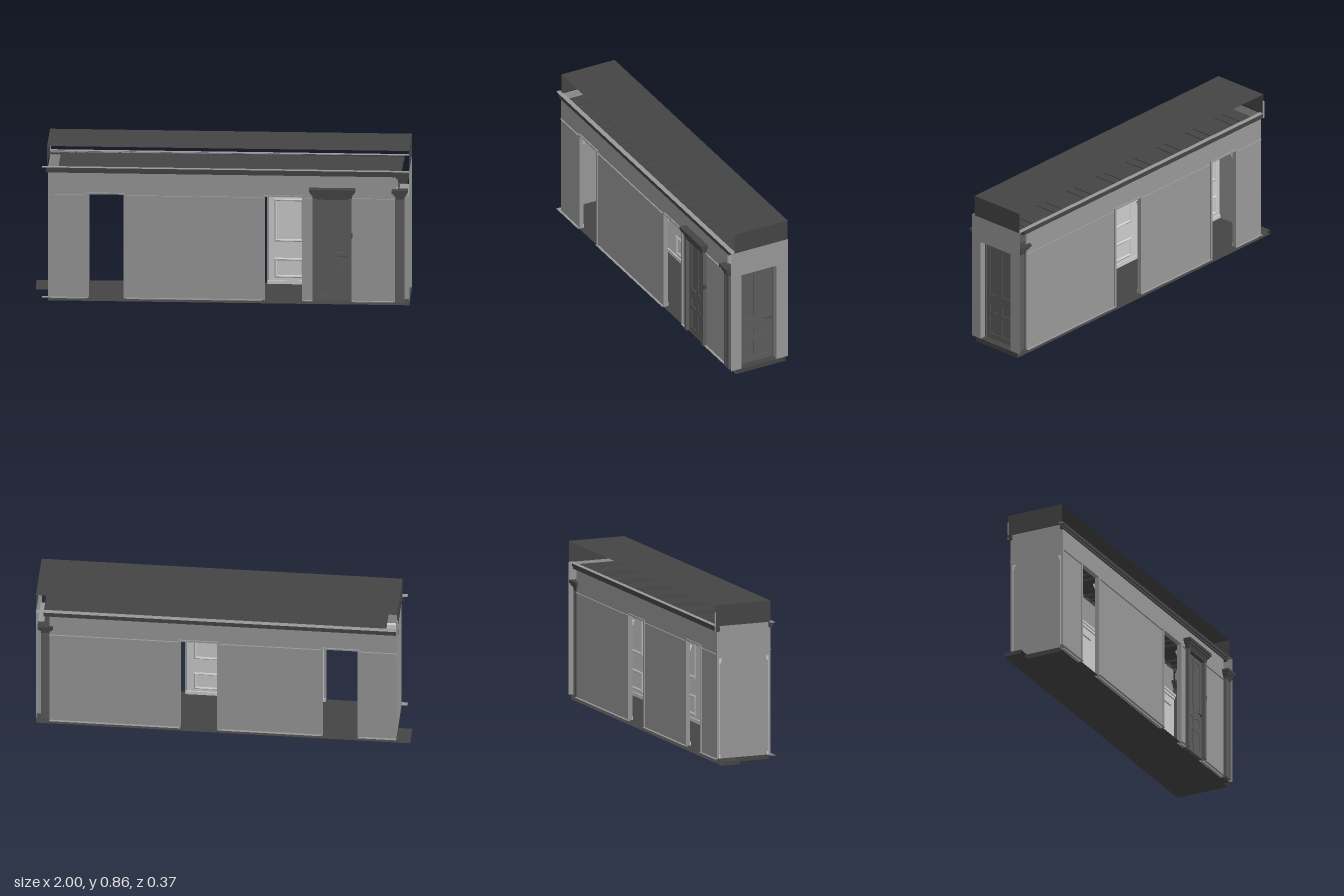
import * as THREE from 'three';

const mat = (color) => new THREE.MeshStandardMaterial({ color, side: THREE.DoubleSide });
const WALL = mat(0x979797), LIGHT = mat(0xcccccc), DOOR = mat(0x5c5c5c), DARK = mat(0x444444);

// Axis-aligned box given by its limits
function box(parent, name, m, x0, x1, y0, y1, z0, z1) {
  const mesh = new THREE.Mesh(new THREE.BoxGeometry(x1 - x0, y1 - y0, z1 - z0), m);
  mesh.position.set((x0 + x1) / 2, (y0 + y1) / 2, (z0 + z1) / 2);
  mesh.name = name;
  parent.add(mesh);
}

// Flat sheet with no thickness: axis 'y' is horizontal, 'x' faces sideways
function sheet(parent, name, m, axis, at, a0, a1, b0, b1) {
  const mesh = new THREE.Mesh(new THREE.PlaneGeometry(a1 - a0, b1 - b0), m);
  if (axis === 'y') { // a = x, b = z
    mesh.rotation.x = -Math.PI / 2;
    mesh.position.set((a0 + a1) / 2, at, (b0 + b1) / 2);
  } else { // a = z, b = y
    mesh.rotation.y = Math.PI / 2;
    mesh.position.set(at, (b0 + b1) / 2, (a0 + a1) / 2);
  }
  mesh.name = name;
  parent.add(mesh);
}

const Y0 = 0.025, TOP = 0.745, HEAD = 0.6;
const FRONT = 0.143, BACK = -0.17; // outer faces of the long walls

// Bevelled rectangular moulding, centred on x = 0
function panelMoulding(w, h) {
  const rect = (C, a, b) => new C([[-a, -b], [a, -b], [a, b], [-a, b]].map((p) => new THREE.Vector2(...p)));
  const shape = rect(THREE.Shape, w / 2 - 0.006, h / 2 - 0.006);
  shape.holes.push(rect(THREE.Path, w / 2 - 0.009, h / 2 - 0.009));
  return new THREE.ExtrudeGeometry(shape, {
    depth: 0.001, bevelEnabled: true, bevelThickness: 0.005, bevelSize: 0.006, bevelSegments: 1,
  });
}

// Long wall with full-height openings, dressed on both faces.
// out is +1 or -1: the direction of the outer face.
function longWall(name, zOut, out, openings) {
  const g = new THREE.Group();
  g.name = name;
  const X0 = -0.925, X1 = 0.93, t = 0.012;
  const zs = (a, b) => [Math.min(zOut + out * a, zOut + out * b), Math.max(zOut + out * a, zOut + out * b)];
  const edges = [X0, ...openings.flatMap((o) => [o[0], o[1]]), X1];
  box(g, 'wallTop', WALL, X0, X1, HEAD, TOP, ...zs(-t, 0));
  for (let i = 0; i < edges.length; i += 2) {
    const a = edges[i], b = edges[i + 1];
    box(g, 'wallPier', WALL, a, b, Y0, HEAD, ...zs(-t, 0));
    sheet(g, 'pictureRail', WALL, 'y', 0.593, a, b, ...zs(0, 0.008));
    sheet(g, 'skirtingLedge', WALL, 'y', Y0, a, b, ...zs(0, 0.014));
    box(g, 'baseStrip', WALL, a + 0.015, b - 0.015, 0.017, Y0, ...zs(-0.012, 0.001));
    // inside panelling
    box(g, 'wainscot', LIGHT, a, b, Y0, 0.54, ...zs(-t - 0.004, -t));
    box(g, 'wainscotRail', LIGHT, a, b, 0.54, 0.555, ...zs(-t - 0.012, -t));
    box(g, 'wainscotCap', LIGHT, a, b, 0.555, 0.567, ...zs(-t - 0.018, -t));
    box(g, 'innerSkirting', LIGHT, a, b, Y0, 0.045, ...zs(-t - 0.01, -t));
    const n = Math.floor((b - a) / 0.19);
    for (let k = 0; k < n; k++) {
      for (const [p, q] of [[0.06, 0.17], [0.26, 0.5]]) {
        const m = new THREE.Mesh(panelMoulding(0.16, q - p), LIGHT);
        m.position.set(a + ((k + 0.5) * (b - a)) / n, (p + q) / 2, zOut - out * (t + 0.005));
        m.name = 'panelMoulding';
        g.add(m);
      }
    }
  }
  // slim trim round each open doorway
  for (const [a, b, isDoor] of openings) {
    if (isDoor) continue;
    const f = zs(-t - 0.006, 0.008);
    box(g, 'openingTrim', WALL, a - 0.008, a + 0.002, Y0, HEAD, ...f);
    box(g, 'openingTrim', WALL, b - 0.002, b + 0.008, Y0, HEAD, ...f);
    box(g, 'openingTrim', WALL, a - 0.008, b + 0.008, HEAD - 0.002, HEAD + 0.006, ...f);
  }
  // cornice in two steps with a flat ledge on top
  box(g, 'cornice', DARK, -0.935, 0.96, 0.716, 0.73, ...zs(-t, 0.007));
  box(g, 'cornice', DARK, -0.935, 0.96, 0.73, TOP, ...zs(-t, 0.013));
  return g;
}

// Flared cap in four steps, spreading sideways and forwards
function flaredCap(g, half, z0, z1) {
  [[0.598, 0.612, 0.002], [0.612, 0.622, 0.006], [0.622, 0.634, 0.013], [0.634, 0.65, 0.02]].forEach(([a, b, d]) =>
    box(g, 'flaredCap', DARK, -half - d, half + d, a, b, z0, z1 + d));
}

// Panelled door leaf with handle, front face at z = 0
function doorLeaf(g, w) {
  const h = w / 2, s = 0.022, y1 = 0.592;
  box(g, 'doorLeaf', DOOR, -h, h, Y0, y1, -0.014, -0.004);
  for (const x of [-h, -s / 2, h - s]) box(g, 'doorStile', DOOR, x, x + s, Y0, y1, -0.018, 0);
  for (const [a, b] of [[Y0, 0.055], [0.16, 0.185], [0.235, 0.29], [0.565, y1]])
    box(g, 'doorRail', DOOR, -h, h, a, b, -0.0178, -0.0002);
  const lever = new THREE.Mesh(new THREE.CapsuleGeometry(0.003, 0.04, 4, 8), DARK);
  lever.rotation.z = Math.PI / 2;
  lever.position.set(h - 0.028, 0.272, 0.009);
  lever.name = 'doorHandle';
  g.add(lever);
  const rose = new THREE.Mesh(new THREE.CylinderGeometry(0.005, 0.005, 0.01, 12), DARK);
  rose.rotation.x = Math.PI / 2;
  rose.position.set(h - 0.01, 0.272, 0.005);
  rose.name = 'handleRose';
  g.add(rose);
}

// Cased door: leaf, head and side posts running from z0 to z1
function casedDoor(name, w, post, z0, z1) {
  const g = new THREE.Group(), h = w / 2;
  g.name = name;
  doorLeaf(g, w);
  box(g, 'doorPost', DOOR, -h - post, -h, Y0, HEAD, z0, z1);
  box(g, 'doorPost', DOOR, h, h + post, Y0, HEAD, z0, z1);
  box(g, 'doorHead', DARK, -h, h, 0.59, HEAD, z0, z1);
  return g;
}

export function createModel() {
  const model = new THREE.Group();
  model.name = 'corridor';

  // Long walls
  model.add(longWall('frontWall', FRONT, 1, [[-0.71, -0.52], [0.23, 0.43], [0.5, 0.68, true]]));
  model.add(longWall('backWall', BACK, -1, [[-0.72, -0.53], [0.03, 0.23]]));

  // Flat ledges on the cornices and at the foot of the front wall
  sheet(model, 'corniceLedge', WALL, 'y', TOP + 0.001, -0.957, 1, 0.13, 0.157);
  sheet(model, 'corniceLedge', WALL, 'y', TOP + 0.001, -0.93, 1, -0.184, -0.158);
  sheet(model, 'footLedge', WALL, 'y', Y0 - 0.001, -0.957, -0.925, 0.13, 0.157);

  // Far end wall and corner strip
  sheet(model, 'farEndWall', WALL, 'x', -0.925, BACK, FRONT, Y0, TOP);
  box(model, 'cornerStrip', WALL, -0.935, -0.925, 0.72, 0.82, -0.185, -0.18);

  // Near end wall with a deep doorway
  sheet(model, 'nearEndWall', WALL, 'x', 1, 0.097, 0.16, Y0, TOP);
  sheet(model, 'nearEndWall', WALL, 'x', 1, -0.185, -0.117, Y0, TOP);
  sheet(model, 'nearEndWall', WALL, 'x', 1, -0.117, 0.097, HEAD, TOP);
  box(model, 'endReveal', WALL, 0.94, 1, Y0, HEAD, 0.097, 0.1);
  box(model, 'endReveal', WALL, 0.94, 1, Y0, HEAD, -0.12, -0.117);
  sheet(model, 'endRevealHead', WALL, 'y', HEAD, 0.94, 1, -0.117, 0.097);

  // Doors
  const front = casedDoor('frontDoor', 0.166, 0.02, -0.02, 0.021);
  flaredCap(front, 0.103, 0, 0.021);
  front.position.set(0.59, 0, FRONT);
  model.add(front);
  const end = casedDoor('endDoor', 0.2, 0.007, -0.02, 0.008);
  end.position.set(0.958, 0, -0.01);
  end.rotation.y = Math.PI / 2;
  model.add(end);
  box(model, 'wallSwitch', DARK, 0.69, 0.697, 0.375, 0.4, FRONT, 0.163);

  // Corner posts with flared caps beside the near end wall
  for (const [name, z, turn] of [['frontCornerPost', 0.163, 0], ['backCornerPost', -0.165, Math.PI]]) {
    const post = new THREE.Group();
    post.name = name;
    box(post, 'postShaft', DOOR, -0.025, 0.025, Y0, HEAD, -0.03, -0.004);
    box(post, 'postEdge', DOOR, -0.025, -0.015, Y0, HEAD, -0.004, 0);
    box(post, 'postEdge', DOOR, 0.015, 0.025, Y0, HEAD, -0.004, 0);
    flaredCap(post, 0.022, -0.03, 0);
    post.position.set(0.951, 0, z);
    post.rotation.y = turn;
    model.add(post);
  }

  // Floor: base sheet, walking surface, end strips and threshold tab
  sheet(model, 'floorBase', DARK, 'y', 0, -0.925, 1, -0.17, 0.13);
  sheet(model, 'floor', DARK, 'y', Y0, -0.925, 1, BACK, FRONT);
  sheet(model, 'floorTab', DARK, 'y', 0, -1, -0.925, -0.17, -0.07);
  sheet(model, 'floorTab', DARK, 'y', 0.022, -1, -0.925, -0.17, -0.07);
  sheet(model, 'floorTabEnd', DARK, 'x', -1, -0.17, -0.07, 0, 0.022);
  for (const x of [-0.925, 1]) sheet(model, 'floorEnd', DARK, 'x', x, -0.17, 0.13, 0, Y0);

  // Ceiling with pairs of cross beams
  sheet(model, 'ceiling', DARK, 'y', 0.738, -0.87, 0.96, -0.17, 0.14);
  for (let i = 0; i < 8; i++)
    for (const d of [-0.03, 0.03]) {
      const x = -0.76 + i * 0.235 + d;
      box(model, 'ceilingBeam', DARK, x - 0.006, x + 0.006, 0.728, 0.742, -0.16, 0.135);
    }

  // Roof sheet and its closed ends; the long sides stay open
  sheet(model, 'roof', DARK, 'y', 0.86, -0.93, 1, -0.183, 0.14);
  for (const x of [-0.93, 1]) sheet(model, 'roofEnd', DARK, 'x', x, -0.183, 0.14, TOP, 0.86);
  return model;
}
